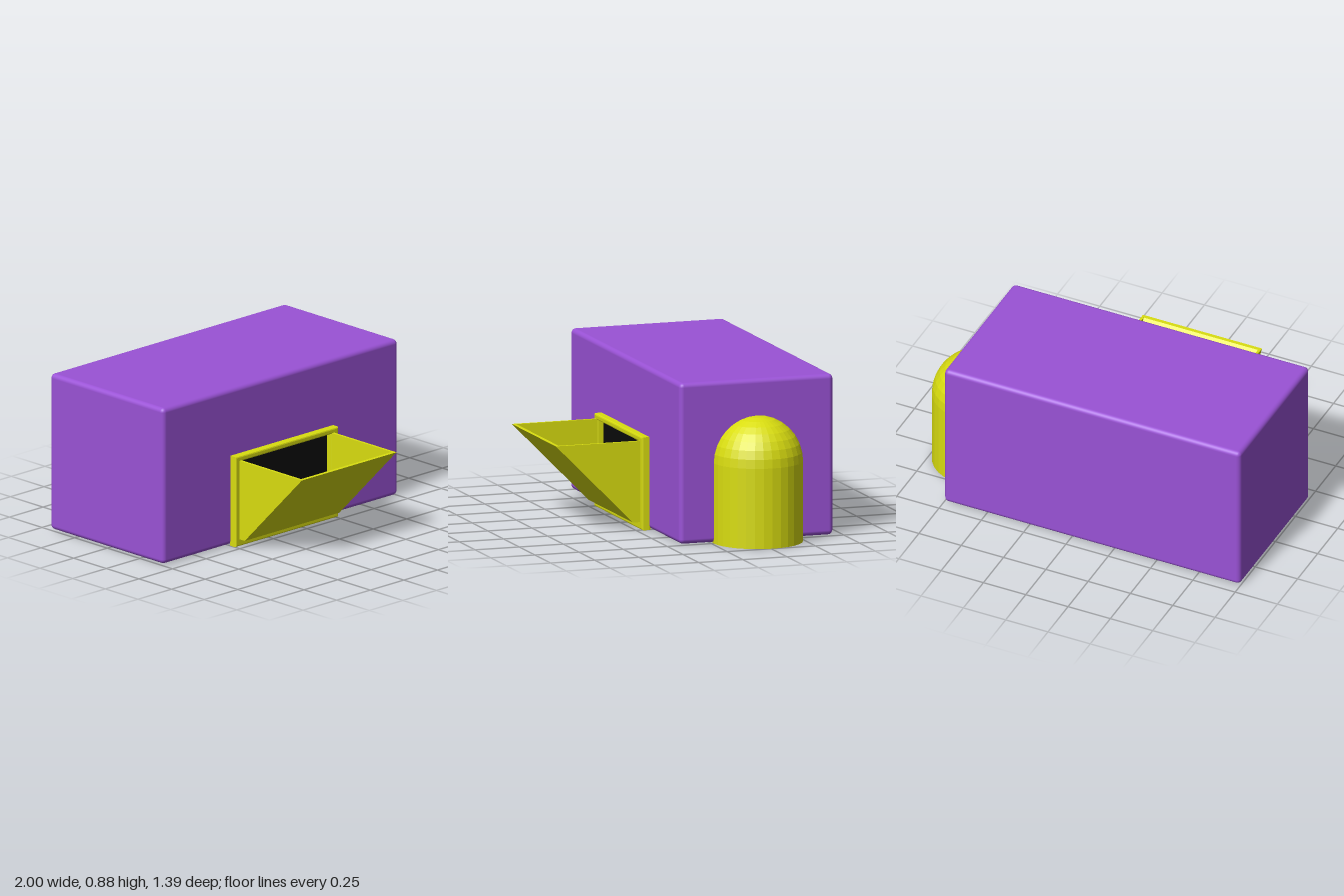
import * as THREE from 'three';
import { RoundedBoxGeometry } from 'three/addons/geometries/RoundedBoxGeometry.js';

const purple = new THREE.MeshStandardMaterial({ color: 0x9a52d6 });
const yellow = new THREE.MeshStandardMaterial({ color: 0xd9dd10 });
const yellowFlat = new THREE.MeshStandardMaterial({ color: 0xd9dd10, flatShading: true });
const black = new THREE.MeshStandardMaterial({ color: 0x0a0a0a });

function add(parent, name, geometry, material, x = 0, y = 0, z = 0) {
  const mesh = new THREE.Mesh(geometry, material);
  mesh.name = name;
  mesh.position.set(x, y, z);
  parent.add(mesh);
  return mesh;
}

// Extrudes a (z, y) outline along x, from x0 to x1.
function extrudeAlongX(points, x0, x1) {
  const shape = new THREE.Shape(points.map(([z, y]) => new THREE.Vector2(z, y)));
  return new THREE.ExtrudeGeometry(shape, { depth: x1 - x0, bevelEnabled: false })
    .rotateY(-Math.PI / 2)
    .translate(x1, 0, 0);
}

function rectangle(PathType, x0, y0, x1, y1) {
  return new PathType([[x0, y0], [x1, y0], [x1, y1], [x0, y1]].map(([x, y]) => new THREE.Vector2(x, y)));
}

export function createModel() {
  const model = new THREE.Group();

  // Main block with softly rounded edges
  add(model, 'body', new RoundedBoxGeometry(1.75, 0.873, 0.87, 3, 0.025), purple, -0.125, 0.4415, -0.257);

  // Domed column half sunk into the left end
  const profile = [new THREE.Vector2(0, 0), new THREE.Vector2(0.245, 0)];
  for (let i = 0; i <= 8; i++) {
    const a = (i / 8) * Math.PI / 2;
    profile.push(new THREE.Vector2(i === 8 ? 0 : 0.245 * Math.cos(a), 0.435 + 0.245 * Math.sin(a)));
  }
  add(model, 'domedColumn', new THREE.LatheGeometry(profile, 32), yellowFlat, 0.755, 0, -0.258);

  // Frame round the opening
  const outline = rectangle(THREE.Shape, -0.492, 0.008, 0.257, 0.497);
  outline.holes.push(rectangle(THREE.Path, -0.463, 0.05, 0.223, 0.482));
  add(model, 'openingFrame', new THREE.ExtrudeGeometry(outline, {
    depth: 0.034, bevelThickness: 0.008, bevelSize: 0.008, bevelSegments: 2,
  }), yellow, 0, 0, 0.178);

  // Dark opening behind the frame
  add(model, 'opening', new THREE.BoxGeometry(0.71, 0.45, 0.01), black, -0.12, 0.265, 0.179);

  // Open-topped tilted chute
  const chute = new THREE.Group();
  chute.name = 'chute';
  const side = [[0.185, 0.04], [0.26, 0.04], [0.697, 0.48], [0.185, 0.48]];
  const floor = [[0.185, 0.04], [0.26, 0.04], [0.697, 0.48], [0.676, 0.48], [0.254, 0.055], [0.185, 0.055]];
  add(chute, 'rightWall', extrudeAlongX(side, -0.472, -0.457), yellow);
  add(chute, 'leftWall', extrudeAlongX(side, 0.217, 0.232), yellow);
  add(chute, 'slopedFloor', extrudeAlongX(floor, -0.457, 0.217), yellow);
  model.add(chute);

  return model;
}
